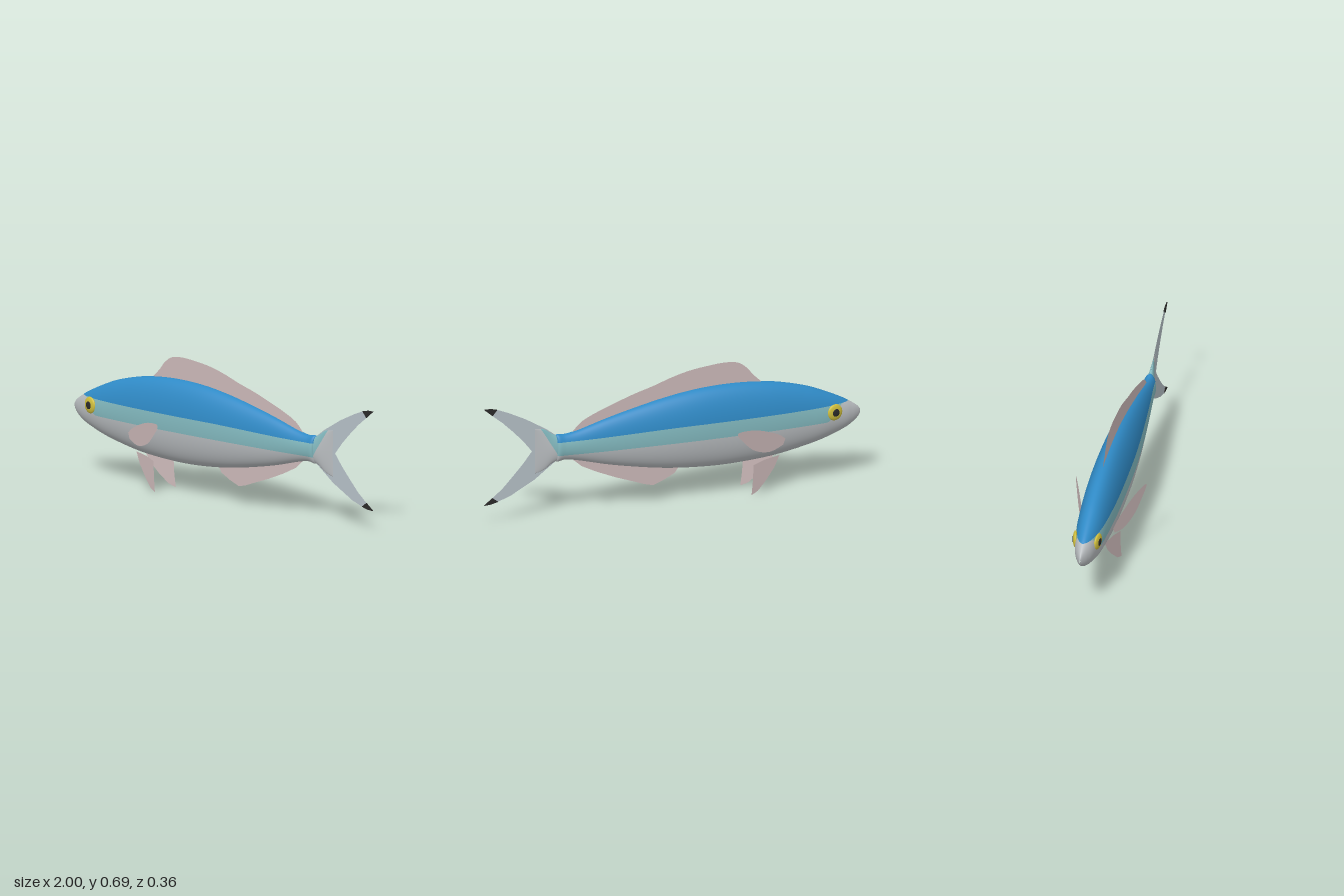
import * as THREE from 'three';
import { mergeGeometries } from 'three/addons/utils/BufferGeometryUtils.js';

const mat = (name, color, side = THREE.FrontSide) => {
  const m = new THREE.MeshStandardMaterial({ color, side });
  m.name = name;
  return m;
};

// Profile rows [x, top, bottom, halfWidth] -> smooth surface of ellipses, point(t, angle)
function makeSurface(rows) {
  const a = new THREE.CatmullRomCurve3(rows.map(r => new THREE.Vector3(r[0], r[1], r[2])), false, 'catmullrom');
  const b = new THREE.CatmullRomCurve3(rows.map(r => new THREE.Vector3(r[3], 0, 0)), false, 'catmullrom');
  const section = t => {
    const p = a.getPoint(t);
    return { x: p.x, c: (p.y + p.z) / 2, h: (p.y - p.z) / 2, w: b.getPoint(t).x };
  };
  const point = (t, ang) => {
    const s = section(t);
    return new THREE.Vector3(s.x, s.c + s.h * Math.sin(ang), s.w * Math.cos(ang));
  };
  return { section, point };
}

// Part of the surface between two height lines lo(x) and hi(x), on both flanks
function bandGeometry({ section, point }, lo, hi, nx = 90, na = 14) {
  const angleAt = (s, y) => Math.asin(THREE.MathUtils.clamp((y - s.c) / Math.max(s.h, 1e-4), -1, 1));
  const flank = left => {
    const pos = [], nor = [], idx = [], e = 1e-3;
    for (let i = 0; i <= nx; i++) {
      const t = i / nx, s = section(t);
      let a0 = angleAt(s, lo(s.x)), a1 = angleAt(s, hi(s.x));
      if (!left) [a0, a1] = [Math.PI - a1, Math.PI - a0];
      for (let j = 0; j <= na; j++) {
        const a = a0 + (a1 - a0) * j / na;
        const dx = point(Math.min(t + e, 1), a).sub(point(Math.max(t - e, 0), a));
        const da = point(t, a + e).sub(point(t, a - e));
        pos.push(...point(t, a).toArray());
        nor.push(...dx.cross(da).normalize().toArray());
        if (i < nx && j < na) {
          const k = i * (na + 1) + j, l = k + na + 1;
          idx.push(k, l, l + 1, k, l + 1, k + 1);
        }
      }
    }
    const g = new THREE.BufferGeometry();
    g.setAttribute('position', new THREE.Float32BufferAttribute(pos, 3));
    g.setAttribute('normal', new THREE.Float32BufferAttribute(nor, 3));
    g.setIndex(idx);
    return g;
  };
  return mergeGeometries([flank(true), flank(false)]);
}

// Flat fin from an outline; zAt(x) leans it away from the body
function finGeometry(points, zAt = () => 0) {
  const g = new THREE.ShapeGeometry(new THREE.Shape(points.map(p => new THREE.Vector2(p[0], p[1]))));
  const p = g.attributes.position;
  for (let i = 0; i < p.count; i++) p.setZ(i, zAt(p.getX(i)));
  g.computeVertexNormals();
  return g;
}

const smooth = (pts, n = 40) =>
  new THREE.SplineCurve(pts.map(p => new THREE.Vector2(...p))).getPoints(n).map(v => [v.x, v.y]);

export function createModel() {
  const fish = new THREE.Group();
  fish.name = 'fish';
  const blue = mat('back blue', 0x2f8ac6), teal = mat('flank teal', 0x82b8be);
  const silver = mat('belly silver', 0xb9bdc0), yellow = mat('eye yellow', 0xd0bf3c);
  const black = mat('dark', 0x2b2a29, THREE.DoubleSide);
  const finPink = mat('fin pink', 0xccb9b9, THREE.DoubleSide);
  const tailGrey = mat('tail grey', 0xb5c0c7, THREE.DoubleSide);
  const add = (name, geo, m, parent = fish) => {
    const mesh = new THREE.Mesh(geo, m);
    mesh.name = name;
    parent.add(mesh);
    return mesh;
  };

  // Body, in three colour bands
  const body = makeSurface([
    [-1, 0.352, 0.335, 0.002], [-0.985, 0.372, 0.312, 0.012], [-0.95, 0.398, 0.285, 0.03],
    [-0.9, 0.428, 0.26, 0.048], [-0.8, 0.476, 0.225, 0.067], [-0.7, 0.515, 0.2, 0.076],
    [-0.55, 0.553, 0.173, 0.084], [-0.4, 0.572, 0.16, 0.087], [-0.25, 0.576, 0.156, 0.087],
    [-0.1, 0.567, 0.163, 0.085], [0.05, 0.545, 0.179, 0.078], [0.2, 0.514, 0.205, 0.067],
    [0.35, 0.478, 0.237, 0.054], [0.5, 0.436, 0.277, 0.04], [0.57, 0.424, 0.29, 0.034],
    [0.61, 0.428, 0.284, 0.03], [0.622, 0.42, 0.292, 0.004],
  ]);
  const { smoothstep } = THREE.MathUtils;
  const upper = x => 0.408 - 0.018 * smoothstep(x, -0.1, 0.6);
  const lower = x => upper(x) - 0.082 * smoothstep(x, -0.9, -0.8) + 0.012 * smoothstep(x, -0.1, 0.6);
  add('back', bandGeometry(body, upper, () => 9), blue);
  add('flank', bandGeometry(body, lower, upper), teal);
  add('belly', bandGeometry(body, () => -9, lower), silver);

  // Tail root, flattening into the tail fin
  const root = makeSurface([
    [0.6, 0.415, 0.295, 0.026], [0.64, 0.435, 0.278, 0.018],
    [0.68, 0.462, 0.25, 0.01], [0.73, 0.47, 0.235, 0.001],
  ]);
  const rootLine = x => 0.335 + (x - 0.62) * 1.7;
  add('tailRootUpper', bandGeometry(root, rootLine, () => 9, 20), teal);
  add('tailRootLower', bandGeometry(root, () => -9, rootLine, 20), silver);

  // Forked tail with dark tips
  add('tailFin', finGeometry([
    [0.6, 0.41], [0.67, 0.463], [0.78, 0.529], [0.87, 0.573], [0.93, 0.598], [0.955, 0.568],
    [0.9, 0.523], [0.84, 0.465], [0.79, 0.412], [0.745, 0.355],
    [0.79, 0.298], [0.84, 0.243], [0.9, 0.18], [0.955, 0.135], [0.925, 0.113],
    [0.86, 0.135], [0.73, 0.205], [0.67, 0.25], [0.6, 0.3],
  ]), tailGrey);
  const tips = [
    [[0.93, 0.598], [0.965, 0.606], [1, 0.606], [0.955, 0.568]],
    [[0.925, 0.113], [0.965, 0.103], [1, 0.101], [0.955, 0.135]],
  ];
  for (const tip of tips) {
    const g = new THREE.ExtrudeGeometry(new THREE.Shape(tip.map(p => new THREE.Vector2(...p))),
      { depth: 0.005, bevelEnabled: false });
    add('tailTip', g.translate(0, 0, -0.0025), black);
  }

  // Dorsal and anal fins, rooted inside the body
  add('dorsalFin', finGeometry([...smooth([
    [-0.49, 0.55], [-0.43, 0.608], [-0.4, 0.645], [-0.35, 0.68], [-0.28, 0.689], [-0.2, 0.684],
    [-0.1, 0.672], [0, 0.648], [0.1, 0.615], [0.2, 0.587], [0.3, 0.553], [0.4, 0.516],
    [0.48, 0.478], [0.53, 0.43],
  ]), [0.5, 0.41], [0.2, 0.48], [-0.2, 0.54], [-0.45, 0.53]]), finPink);
  add('analFin', finGeometry([
    [-0.04, 0.18], [-0.015, 0.143], [0.04, 0.115], [0.1, 0.092], [0.15, 0.105], [0.2, 0.124],
    [0.3, 0.16], [0.4, 0.202], [0.48, 0.242], [0.53, 0.285], [0.48, 0.3], [0.2, 0.24], [0.05, 0.21],
  ]), finPink);

  // Paired fins and eyes
  const pectoral = smooth([
    [-0.575, 0.275], [-0.53, 0.308], [-0.44, 0.348], [-0.36, 0.37], [-0.28, 0.371],
    [-0.325, 0.31], [-0.39, 0.255], [-0.48, 0.229], [-0.56, 0.246],
  ], 32);
  const pelvic = [
    [-0.56, 0.175], [-0.53, 0.118], [-0.48, 0.06], [-0.43, 0.015], [-0.393, 0.001],
    [-0.402, 0.08], [-0.405, 0.156], [-0.47, 0.17],
  ];
  for (const s of [1, -1]) {
    const side = s > 0 ? 'left' : 'right';
    add(side + 'PectoralFin', finGeometry(pectoral, x => s * (0.074 + (x + 0.575) * 0.36)), finPink);
    add(side + 'PelvicFin', finGeometry(pelvic, x => s * (0.029 + (x + 0.56) * 0.288)), finPink);

    const eye = new THREE.Group();
    eye.name = side + 'Eye';
    eye.position.set(-0.845, 0.372, s * 0.057);
    eye.rotation.y = -s * 0.2;
    fish.add(eye);
    add('iris', new THREE.SphereGeometry(0.042, 28, 16), yellow, eye).scale.z = 0.3;
    const pupil = add('pupil', new THREE.SphereGeometry(0.02, 20, 12), black, eye);
    pupil.scale.z = 0.2;
    pupil.position.z = s * 0.0105;
  }
  return fish;
}
